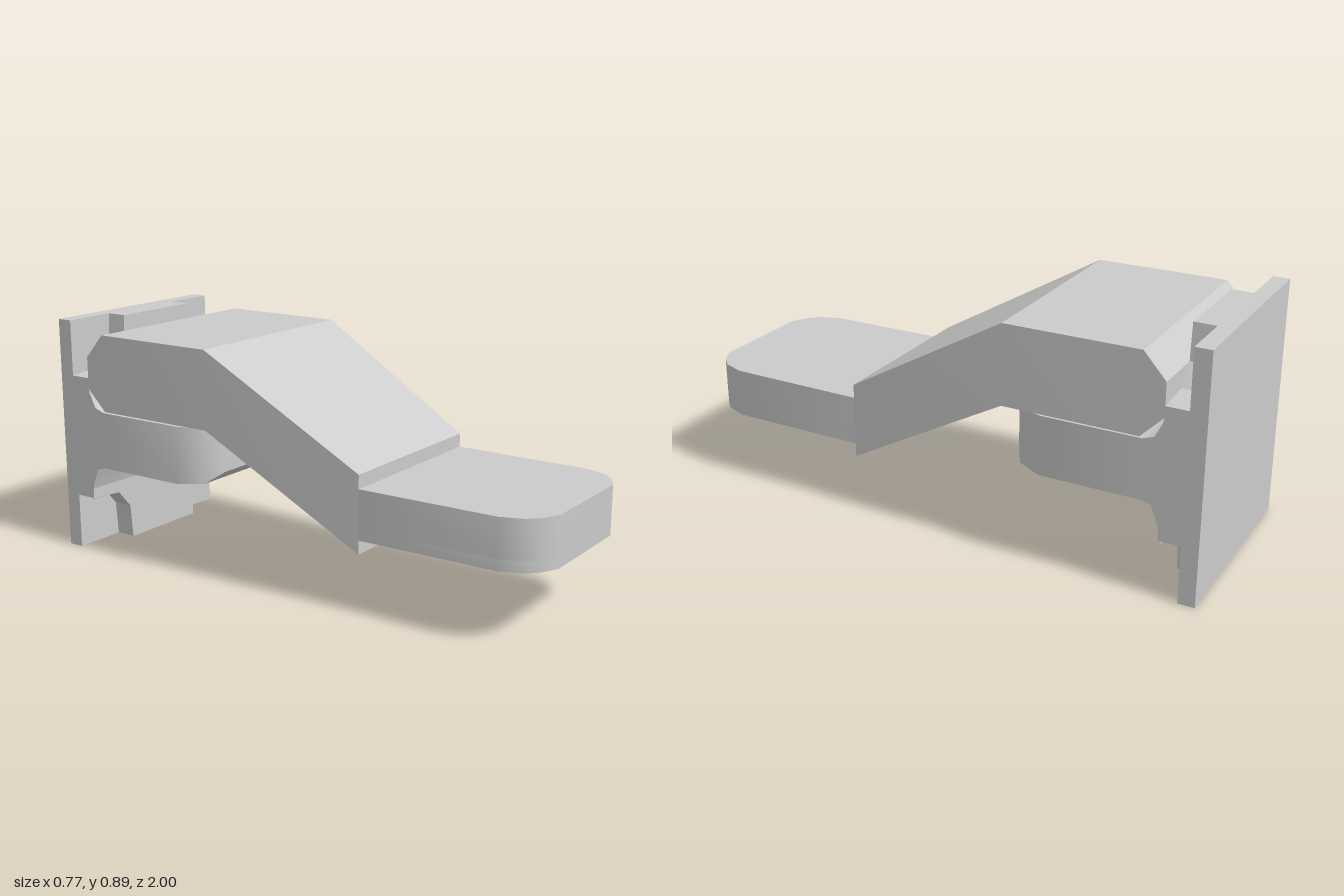
import * as THREE from 'three';
import { toCreasedNormals } from 'three/addons/utils/BufferGeometryUtils.js';

const material = new THREE.MeshStandardMaterial({ color: 0xcccccc, side: THREE.DoubleSide });

function add(group, name, geometry, crease = 0.6) {
  const mesh = new THREE.Mesh(toCreasedNormals(geometry, crease), material);
  mesh.name = name;
  group.add(mesh);
  return mesh;
}

// Closed loft of rectangular sections [z, bottom, top, halfWidth], back to front
function loft(sections) {
  const positions = [], index = [];
  for (const [z, lo, hi, w] of sections) positions.push(-w, lo, z, w, lo, z, w, hi, z, -w, hi, z);
  const last = (sections.length - 1) * 4;
  for (let s = 0; s < last; s += 4) {
    for (let i = 0; i < 4; i++) {
      const a = s + i, b = s + (i + 1) % 4;
      index.push(a, b, b + 4, a, b + 4, a + 4);
    }
  }
  index.push(0, 2, 1, 0, 3, 2, last, last + 1, last + 2, last, last + 2, last + 3);
  const geometry = new THREE.BufferGeometry();
  geometry.setAttribute('position', new THREE.Float32BufferAttribute(positions, 3));
  geometry.setIndex(index);
  geometry.computeVertexNormals();
  return geometry;
}

// Outline from points on the +x side, mirrored to the -x side
function mirroredShape(half) {
  const points = half.map(([x, y]) => new THREE.Vector2(x, y));
  const mirrored = half.map(([x, y]) => new THREE.Vector2(-x, y)).reverse();
  return new THREE.Shape([...points, ...mirrored]);
}

function extrude(shape, depth) {
  return new THREE.ExtrudeGeometry(shape, { depth, bevelEnabled: false });
}

// Slab lying flat, shape y becoming z, its underside at the given height
function flatSlab(shape, bottom, height) {
  return extrude(shape, height).rotateX(Math.PI / 2).translate(0, bottom + height, 0);
}

export function createModel() {
  const model = new THREE.Group();
  model.name = 'wallLever';

  // Wall plate with a raised cross, leaving its four corners recessed
  add(model, 'wallPlate', new THREE.BoxGeometry(0.77, 0.89, 0.06).translate(0, 0.445, -0.97));
  const cross = mirroredShape([
    [0.18, 0], [0.19, 0.13], [0.25, 0.2], [0.385, 0.21],
    [0.385, 0.68], [0.25, 0.69], [0.19, 0.76], [0.18, 0.89],
  ]);
  add(model, 'plateCross', extrude(cross, 0.08).translate(0, 0, -0.94));

  // Stub support that flares into the plate
  add(model, 'support', loft([
    [-0.87, 0.2, 0.68, 0.385],
    [-0.855, 0.27, 0.62, 0.385],
    [-0.83, 0.33, 0.57, 0.385],
    [-0.79, 0.34, 0.555, 0.385],
    [-0.43, 0.34, 0.555, 0.385],
    [-0.34, 0.345, 0.55, 0.34],
    [-0.3, 0.38, 0.51, 0.27],
  ]));

  // Cranked arm
  add(model, 'arm', loft([
    [-0.86, 0.64, 0.76, 0.385],
    [-0.78, 0.56, 0.85, 0.385],
    [-0.29, 0.56, 0.85, 0.385],
    [0.33, 0.21, 0.49, 0.335],
  ]), 0.4);

  // Paddle with rounded front corners and a shallow dished underside
  const outline = [[0.335, 0.32], [0.33, 0.85], [0.3, 0.93], [0.26, 0.97], [0.2, 1]];
  add(model, 'paddle', flatSlab(mirroredShape(outline), 0.3, 0.14));
  const rim = mirroredShape(outline);
  rim.holes.push(new THREE.Path(mirroredShape(
    [[0.29, 0.36], [0.29, 0.84], [0.26, 0.9], [0.18, 0.95]]).getPoints().reverse()));
  add(model, 'paddleRim', flatSlab(rim, 0.26, 0.04));

  // Low dome inside the dish
  const dome = new THREE.SphereGeometry(0.11, 24, 6, 0, Math.PI * 2, Math.PI / 2, Math.PI / 2);
  add(model, 'paddleDome', dome.scale(1, 0.3, 1).translate(0, 0.3, 0.68), 1);

  return model;
}
